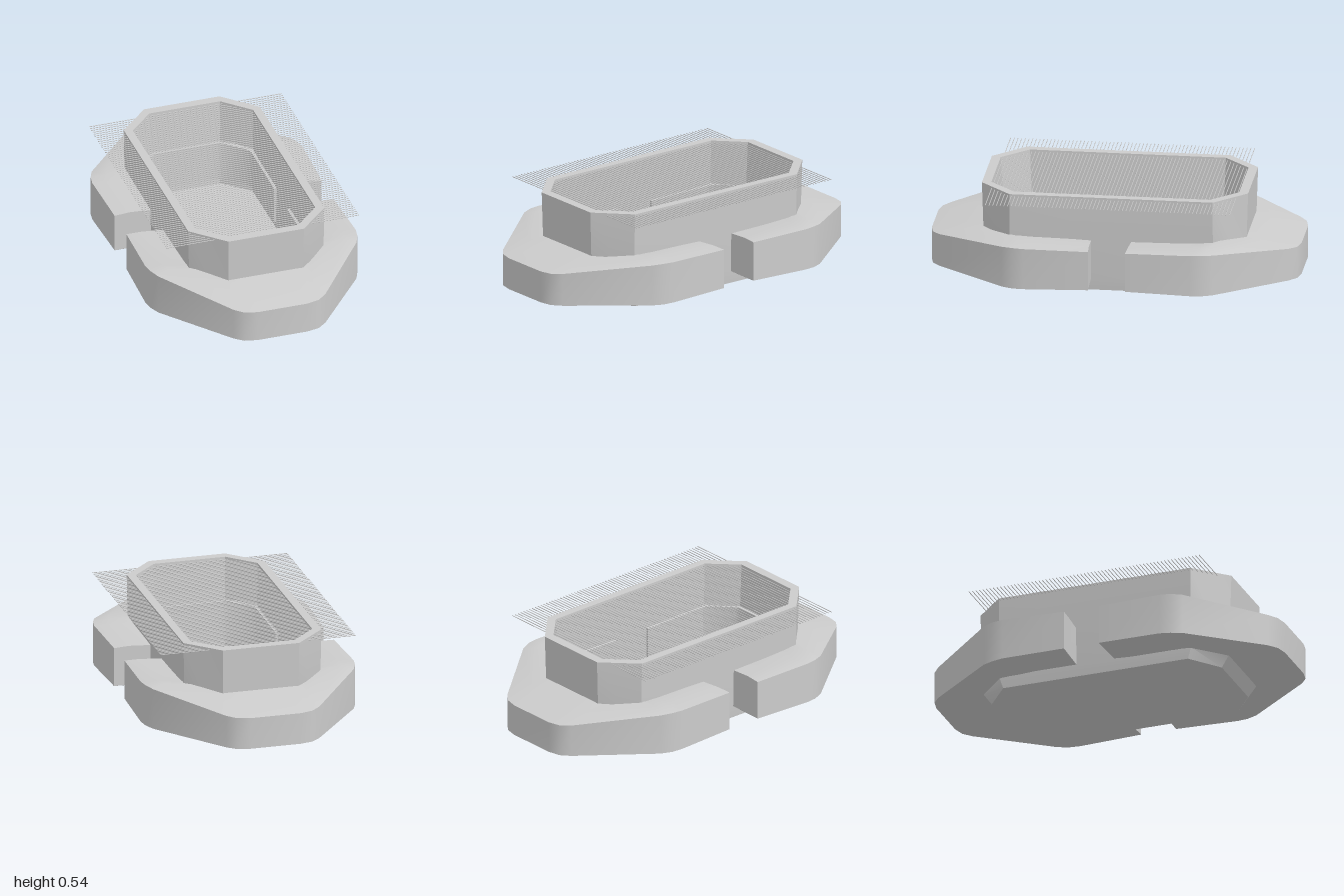
import * as THREE from 'three';
import { toCreasedNormals } from 'three/addons/utils/BufferGeometryUtils.js';

const material = new THREE.MeshStandardMaterial({ color: 0xcccccc });

// Skin a row of closed cross-sections and cap both ends
function loft(sections) {
  const pos = [];
  const tri = (a, b, c) => pos.push(...a, ...b, ...c);
  const n = sections[0].length;
  for (let s = 0; s < sections.length - 1; s++) {
    for (let i = 0; i < n; i++) {
      const k = (i + 1) % n;
      const a = sections[s][i], b = sections[s][k];
      const d = sections[s + 1][i], c = sections[s + 1][k];
      tri(a, d, c);
      tri(a, c, b);
    }
  }
  const first = sections[0], last = sections[sections.length - 1];
  for (let i = 1; i < n - 1; i++) {
    tri(first[0], first[i], first[i + 1]);
    tri(last[0], last[i + 1], last[i]);
  }
  const geometry = new THREE.BufferGeometry();
  geometry.setAttribute('position', new THREE.Float32BufferAttribute(pos, 3));
  return toCreasedNormals(geometry, 0.5);
}

function part(name, geometry) {
  const mesh = new THREE.Mesh(geometry, material);
  mesh.name = name;
  return mesh;
}

// Rectangle with cut corners, at height y
function octagon(hx, cx, hz, cz, y) {
  return [
    [hx, y, -cz], [hx, y, cz], [cx, y, hz], [-cx, y, hz],
    [-hx, y, cz], [-hx, y, -cz], [-cx, y, -hz], [cx, y, -hz],
  ];
}

// Hollow tub: shallow pointed underside, outer wall, rim, inner wall, floor
function createTub() {
  return part('tub', loft([
    octagon(0.001, 0.0005, 0.001, 0.0005, 0.003),
    octagon(0.37, 0.2, 0.66, 0.53, 0.017),
    octagon(0.376, 0.21, 0.705, 0.55, 0.08),
    octagon(0.385, 0.213, 0.72, 0.55, 0.545),
    octagon(0.34, 0.2, 0.67, 0.53, 0.545),
    octagon(0.33, 0.19, 0.64, 0.51, 0.05),
  ]));
}

// U-shaped collar around one end of the tub
function createCollar() {
  // outer x, z, top | ridge x, z, top | inner x, z, top | outer and ridge underside
  const half = [
    [0.585, 0.10, 0.305, 0.50, 0.105, 0.308, 0.32, 0.11, 0.295, 0.088, 0.085],
    [0.595, 0.45, 0.310, 0.50, 0.42, 0.320, 0.32, 0.45, 0.300, 0.082, 0.068],
    [0.585, 0.51, 0.310, 0.50, 0.49, 0.325, 0.32, 0.50, 0.302, 0.080, 0.066],
    [0.560, 0.57, 0.306, 0.49, 0.54, 0.324, 0.30, 0.53, 0.305, 0.080, 0.065],
    [0.260, 0.945, 0.256, 0.23, 0.80, 0.286, 0.20, 0.62, 0.308, 0.076, 0.066],
    [0.210, 0.985, 0.252, 0.19, 0.82, 0.284, 0.17, 0.63, 0.308, 0.075, 0.066],
    [0.140, 1.000, 0.250, 0.13, 0.83, 0.283, 0.10, 0.63, 0.308, 0.075, 0.066],
  ];
  const section = (side) => ([ox, oz, oy, mx, mz, my, ix, iz, iy, ob, mb]) => [
    [side * ox, ob, oz], [side * mx, mb, mz], [side * ix, 0.085, iz],
    [side * ix, iy, iz], [side * mx, my, mz], [side * ox, oy, oz],
  ];
  return loft([...half.map(section(1)), ...half.slice().reverse().map(section(-1))]);
}

export function createModel() {
  const group = new THREE.Group();
  group.name = 'stringedTub';
  group.add(createTub());

  // Front collar, and the same turned around for the back
  const collar = createCollar();
  const front = part('frontCollar', collar);
  const back = part('backCollar', collar);
  back.rotation.y = Math.PI;
  group.add(front, back);

  // Row of thin wires stretched across the tub just below the rim
  const wires = new THREE.Group();
  wires.name = 'wires';
  const wire = new THREE.CylinderGeometry(0.0022, 0.0022, 1.09, 6).rotateZ(Math.PI / 2);
  for (let i = -33; i <= 33; i++) {
    const mesh = part('wire', wire);
    mesh.position.set(0, 0.533, i * 0.02);
    wires.add(mesh);
  }
  group.add(wires);
  return group;
}
